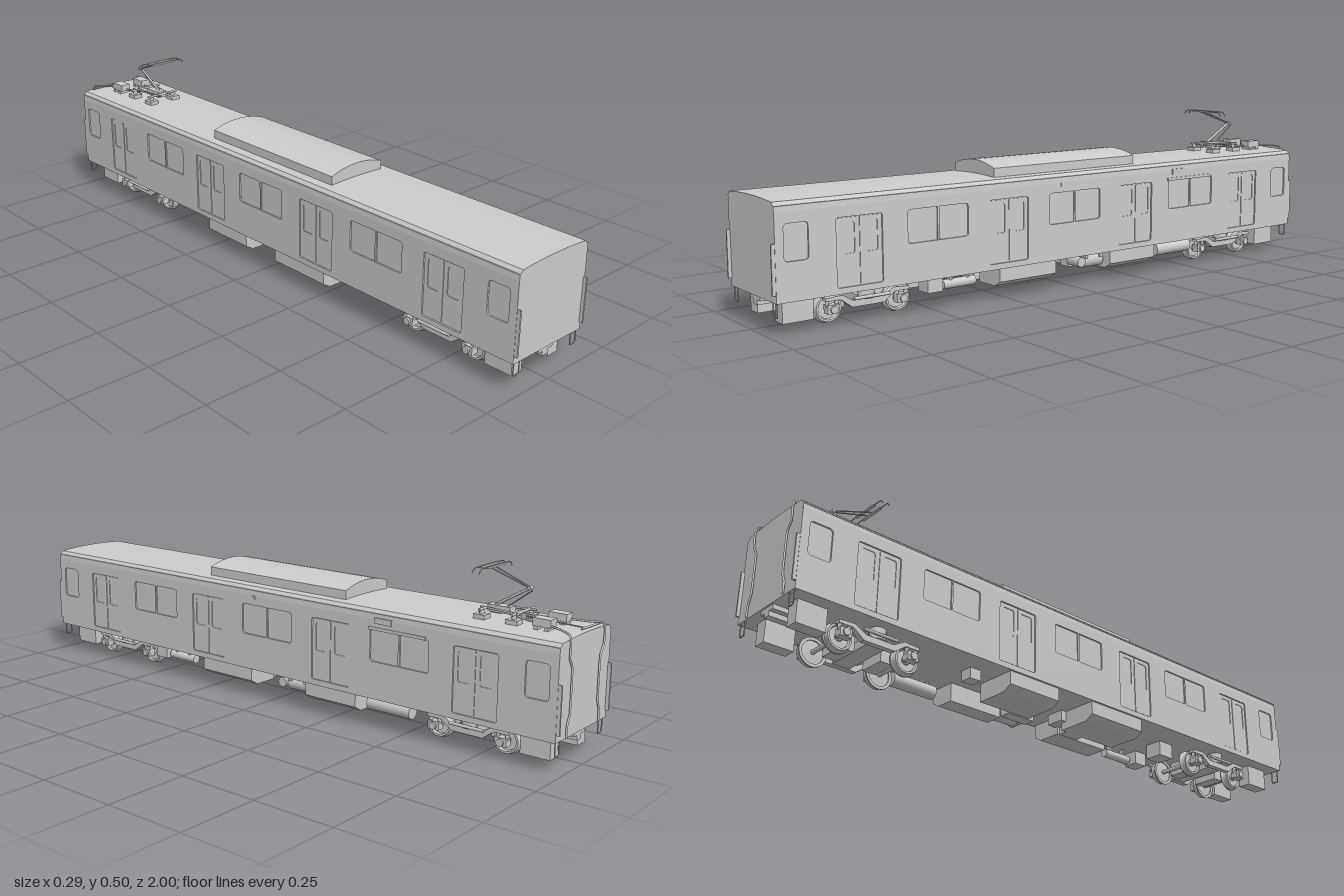
import * as THREE from 'three';

const mat = new THREE.MeshStandardMaterial({ color: 0xcccccc, side: THREE.DoubleSide });
const flat = new THREE.MeshStandardMaterial({ color: 0xcccccc, flatShading: true });
const V = (x, y, z) => new THREE.Vector3(x, y, z);

function add(parent, name, geo, x = 0, y = 0, z = 0, m = mat) {
  const mesh = new THREE.Mesh(geo, m);
  mesh.name = name;
  mesh.position.set(x, y, z);
  parent.add(mesh);
  return mesh;
}
// Box given by its extents on each axis
function block(parent, name, x0, x1, y0, y1, z0, z1) {
  return add(parent, name, new THREE.BoxGeometry(x1 - x0, y1 - y0, z1 - z0),
    (x0 + x1) / 2, (y0 + y1) / 2, (z0 + z1) / 2);
}
function rod(parent, name, a, b, r, sides = 8) {
  const mesh = add(parent, name, new THREE.CylinderGeometry(r, r, a.distanceTo(b), sides));
  mesh.position.copy(a).lerp(b, 0.5);
  mesh.quaternion.setFromUnitVectors(V(0, 1, 0), b.clone().sub(a).normalize());
  return mesh;
}
function cable(parent, name, pts, r = 0.002) {
  const curve = new THREE.CatmullRomCurve3(pts, false, 'catmullrom', 0.2);
  return add(parent, name, new THREE.TubeGeometry(curve, 40, r, 6));
}
function roundRect(path, x0, x1, y0, y1, r) {
  path.moveTo(x0 + r, y0);
  path.lineTo(x1 - r, y0).quadraticCurveTo(x1, y0, x1, y0 + r);
  path.lineTo(x1, y1 - r).quadraticCurveTo(x1, y1, x1 - r, y1);
  path.lineTo(x0 + r, y1).quadraticCurveTo(x0, y1, x0, y1 - r);
  path.lineTo(x0, y0 + r).quadraticCurveTo(x0, y0, x0 + r, y0);
  return path;
}
function extrude(shape, depth) {
  return new THREE.ExtrudeGeometry(shape, { depth, bevelEnabled: false, curveSegments: 12 });
}

// Outer wall with door and window openings, plus door leaves
function makeSide() {
  const side = new THREE.Group();
  side.name = 'sideWall';
  const wall = roundRect(new THREE.Shape(), -0.99, 0.99, 0.093, 0.33, 0.0005);
  const hole = (c, w, y0, y1, r) =>
    wall.holes.push(roundRect(new THREE.Path(), c - w / 2, c + w / 2, y0, y1, r));
  const doors = [-0.745, -0.25, 0.25, 0.745];
  doors.forEach(c => hole(c, 0.14, 0.11, 0.3, 0.008));
  [-0.495, 0, 0.495].forEach(c => hole(c, 0.2, 0.205, 0.3, 0.01));
  [-0.93, 0.93].forEach(c => hole(c, 0.07, 0.2, 0.3, 0.012));
  add(side, 'sidePanel', extrude(wall, 0.005).rotateY(Math.PI / 2), 0.137);
  for (const c of doors) for (const s of [-1, 1]) {
    const m = c + s * 0.035;
    const leaf = roundRect(new THREE.Shape(), -m - 0.0335, -m + 0.0335, 0.112, 0.298, 0.004);
    leaf.holes.push(roundRect(new THREE.Path(), -m - 0.021, -m + 0.021, 0.2, 0.286, 0.008));
    add(side, 'doorLeaf', extrude(leaf, 0.002).rotateY(Math.PI / 2), 0.137);
  }
  for (const c of [-0.495, 0, 0.495]) block(side, 'windowPost', 0.137, 0.141, 0.205, 0.3, c - 0.003, c + 0.003);
  block(side, 'gutter', 0.134, 0.1425, 0.343, 0.347, -0.99, 0.99);
  // End fins and step irons at both corners
  for (const s of [-1, 1]) {
    block(side, 'cornerFin', 0.136, 0.141, 0.115, 0.25, s * 0.994 - 0.006, s * 0.994 + 0.006);
    cable(side, 'stepIron', [V(0.132, 0.1, s * 0.985), V(0.132, 0.055, s * 0.985),
      V(0.11, 0.055, s * 0.985), V(0.11, 0.1, s * 0.985)], 0.002);
  }
  return side;
}

function makeBogie() {
  const g = new THREE.Group();
  g.name = 'bogie';
  // Wheel profile: flange, coned tread, recessed web
  const profile = [[0.006, 0.056], [0.034, 0.058], [0.034, 0.054], [0.043, 0.054], [0.043, 0.058],
    [0.04, 0.062], [0.038, 0.075], [0.032, 0.075], [0.03, 0.067], [0.012, 0.067], [0.012, 0.076], [0, 0.076]];
  const wheel = new THREE.LatheGeometry(profile.map(p => new THREE.Vector2(...p)), 32);
  for (const z of [-0.108, 0.108]) {
    rod(g, 'axle', V(-0.09, 0.043, z), V(0.09, 0.043, z), 0.007, 12);
    block(g, 'tractionMotor', -0.045, 0.04, 0.03, 0.075, z * 0.6 - 0.022, z * 0.6 + 0.022);
    for (const s of [-1, 1]) {
      add(g, 'wheel', wheel, 0, 0.043, z, flat).rotation.z = -s * Math.PI / 2;
      block(g, 'axleBox', s * 0.092 - 0.012, s * 0.092 + 0.012, 0.033, 0.058, z - 0.018, z + 0.018);
      rod(g, 'axleCap', V(s * 0.1, 0.045, z), V(s * 0.11, 0.045, z), 0.011, 12);
      for (const d of [-0.014, 0.014])
        rod(g, 'axleSpring', V(s * 0.092, 0.05, z + d), V(s * 0.092, 0.072, z + d), 0.006);
    }
  }
  const frame = new THREE.Shape([[-0.13, 0.068], [-0.085, 0.068], [-0.05, 0.042], [0.05, 0.042], [0.085, 0.068],
    [0.13, 0.068], [0.13, 0.077], [0.08, 0.08], [0.045, 0.06], [-0.045, 0.06], [-0.08, 0.08], [-0.13, 0.077]]
    .map(p => new THREE.Vector2(...p)));
  for (const s of [-1, 1]) {
    add(g, 'bogieFrame', extrude(frame, 0.018).rotateY(Math.PI / 2), s * 0.092 - 0.009, 0, 0);
    rod(g, 'airSpring', V(s * 0.085, 0.06, 0), V(s * 0.085, 0.094, 0), 0.024, 20);
    rod(g, 'damper', V(s * 0.112, 0.068, -0.06), V(s * 0.112, 0.068, 0.05), 0.005);
  }
  block(g, 'bolster', -0.09, 0.09, 0.045, 0.07, -0.028, 0.028);
  block(g, 'centrePivot', -0.02, 0.02, 0.05, 0.094, -0.02, 0.02);
  return g;
}

function makePantograph() {
  const g = new THREE.Group();
  g.name = 'pantograph';
  for (const s of [-1, 1]) {
    for (const z of [-0.8, -0.7]) {
      block(g, 'baseFoot', s * 0.045 - 0.016, s * 0.045 + 0.016, 0.361, 0.374, z - 0.018, z + 0.018);
      rod(g, 'insulator', V(s * 0.045, 0.372, z), V(s * 0.045, 0.386, z), 0.007, 10);
    }
    rod(g, 'baseRail', V(s * 0.04, 0.387, -0.82), V(s * 0.02, 0.387, -0.68), 0.003);
    rod(g, 'upperArm', V(s * 0.004, 0.455, -0.82), V(s * 0.012, 0.498, -0.7), 0.002);
  }
  for (const z of [-0.8, -0.7]) rod(g, 'baseBar', V(-0.06, 0.387, z), V(0.06, 0.387, z), 0.004);
  block(g, 'baseDrive', -0.016, 0.016, 0.376, 0.396, -0.77, -0.7);
  rod(g, 'lowerArm', V(0, 0.39, -0.71), V(0, 0.455, -0.82), 0.004);
  rod(g, 'controlRod', V(0.008, 0.39, -0.75), V(0.006, 0.45, -0.83), 0.0018);
  rod(g, 'knee', V(-0.008, 0.455, -0.82), V(0.008, 0.455, -0.82), 0.005);
  // Collector head with drooping horns
  for (const z of [-0.712, -0.69]) {
    cable(g, 'collectorHorn', [V(-0.086, 0.49, z), V(-0.079, 0.5, z), V(-0.068, 0.503, z),
      V(0.068, 0.503, z), V(0.079, 0.5, z), V(0.086, 0.49, z)], 0.0015);
    block(g, 'contactStrip', -0.045, 0.045, 0.499, 0.504, z - 0.004, z + 0.004);
  }
  return g;
}

export function createModel() {
  const car = new THREE.Group();
  car.name = 'railcar';

  // Body core with arched roof
  const p = new THREE.Shape();
  p.moveTo(-0.137, 0.093);
  p.lineTo(0.137, 0.093).lineTo(0.137, 0.33).lineTo(0.142, 0.33).lineTo(0.1405, 0.345).lineTo(0.13, 0.357);
  p.quadraticCurveTo(0, 0.368, -0.13, 0.357);
  p.lineTo(-0.1405, 0.345).lineTo(-0.142, 0.33).lineTo(-0.137, 0.33);
  add(car, 'bodyShell', extrude(p, 1.98), 0, 0, -0.99);
  const left = makeSide(), right = makeSide();
  right.rotation.y = Math.PI;
  car.add(left, right);
  block(car, 'ventBox', 0.14, 0.145, 0.318, 0.335, -0.47, -0.41);
  block(car, 'displayHood', 0.14, 0.145, 0.298, 0.307, -0.585, -0.39);
  block(car, 'sideLamp', 0.14, 0.145, 0.318, 0.33, 0.047, 0.057);

  // Roof air conditioner
  const ac = new THREE.Shape();
  ac.moveTo(-0.101, 0.355);
  ac.lineTo(0.101, 0.355).lineTo(0.101, 0.386).quadraticCurveTo(0, 0.422, -0.101, 0.386);
  add(car, 'airConditioner', extrude(ac, 0.55), 0, 0, -0.275);

  // Roof power gear and cables down the rear end
  car.add(makePantograph());
  for (const s of [-1, 1]) {
    block(car, 'arresterBox', s * 0.043 - 0.017, s * 0.043 + 0.017, 0.37, 0.392, -0.917, -0.863);
    for (const z of [-0.905, -0.875]) block(car, 'arresterFoot', s * 0.043 - 0.02, s * 0.043 + 0.02, 0.36, 0.371, z - 0.006, z + 0.006);
    cable(car, 'powerCable', [V(s * 0.02, 0.385, -0.77), V(s * 0.03, 0.374, -0.83), V(s * 0.05, 0.375, -0.91),
      V(s * 0.07, 0.372, -0.96), V(s * 0.092, 0.37, -0.99), V(s * 0.095, 0.355, -0.995), V(s * 0.095, 0.31, -0.994),
      V(s * 0.078, 0.28, -0.994), V(s * 0.078, 0.16, -0.994), V(s * 0.09, 0.13, -0.994), V(s * 0.09, 0.095, -0.994)], 0.003);
  }
  rod(car, 'roofConduit', V(-0.11, 0.364, -0.975), V(0, 0.367, -0.975), 0.003);
  rod(car, 'roofConduit', V(-0.02, 0.367, -0.975), V(-0.02, 0.37, -0.8), 0.002);

  // Bogies
  for (const z of [-0.7, 0.7]) {
    const b = makeBogie();
    b.position.z = z;
    car.add(b);
  }

  // Underfloor boxes: x0, x1, bottom y, z0, z1
  [[-0.05, 0.01, 0.045, 0.46, 0.52], [0.07, 0.12, 0.05, 0.47, 0.52], [-0.04, 0.04, 0.037, 0.08, 0.15],
    [-0.02, 0.04, 0.06, 0.04, 0.08], [-0.075, -0.035, 0.06, -0.37, -0.33], [0.02, 0.06, 0.045, -0.14, -0.04]]
    .forEach(([x0, x1, y, z0, z1]) => block(car, 'underfloorBox', x0, x1, y, 0.094, z0, z1));
  // Equipment cases with a chamfered lower outer edge: side, inner x, z0, z1
  [[1, 0.03, 0.07, 0.28], [-1, 0.0, 0.06, 0.28], [1, 0.05, -0.34, -0.15], [-1, 0.0, -0.27, -0.08]]
    .forEach(([s, xi, z0, z1]) => {
      const c = new THREE.Shape([[xi, 0.094], [xi, 0.036], [0.108, 0.036], [0.135, 0.052], [0.135, 0.094]]
        .map(([x, y]) => new THREE.Vector2(s * x, y)));
      add(car, 'equipmentCase', extrude(c, z1 - z0), 0, 0, z0);
    });

  // Air tanks with hangers
  for (const [x, y, z0, z1, r] of [[0.1, 0.064, 0.35, 0.46, 0.014], [0.1, 0.067, -0.52, -0.37, 0.021]]) {
    rod(car, 'airTank', V(x, y, z0), V(x, y, z1), r, 20);
    for (const z of [z0 + 0.025, z1 - 0.025]) block(car, 'tankHanger', x - 0.008, x + 0.008, y, 0.094, z - 0.004, z + 0.004);
  }
  // Compressor
  rod(car, 'compressorMotor', V(0.09, 0.066, -0.14), V(0.09, 0.066, -0.06), 0.022, 16);
  rod(car, 'compressorHead', V(0.065, 0.068, -0.045), V(0.12, 0.068, -0.045), 0.016, 12);
  for (const z of [-0.13, -0.07]) block(car, 'compressorMount', 0.065, 0.115, 0.075, 0.094, z - 0.006, z + 0.006);

  // End boxes and couplers
  for (const s of [-1, 1]) {
    for (const x of [-0.077, 0.077])
      block(car, 'endBox', x - 0.021, x + 0.021, 0.026, 0.094, s * 0.91 - 0.045, s * 0.91 + 0.045);
    block(car, 'couplerPocket', -0.03, 0.03, 0.08, 0.094, s * 0.95 - 0.035, s * 0.95 + 0.035);
    block(car, 'couplerBar', -0.012, 0.012, 0.066, 0.082, s * 0.94 - 0.045, s * 0.94 + 0.045);
  }
  return car;
}
